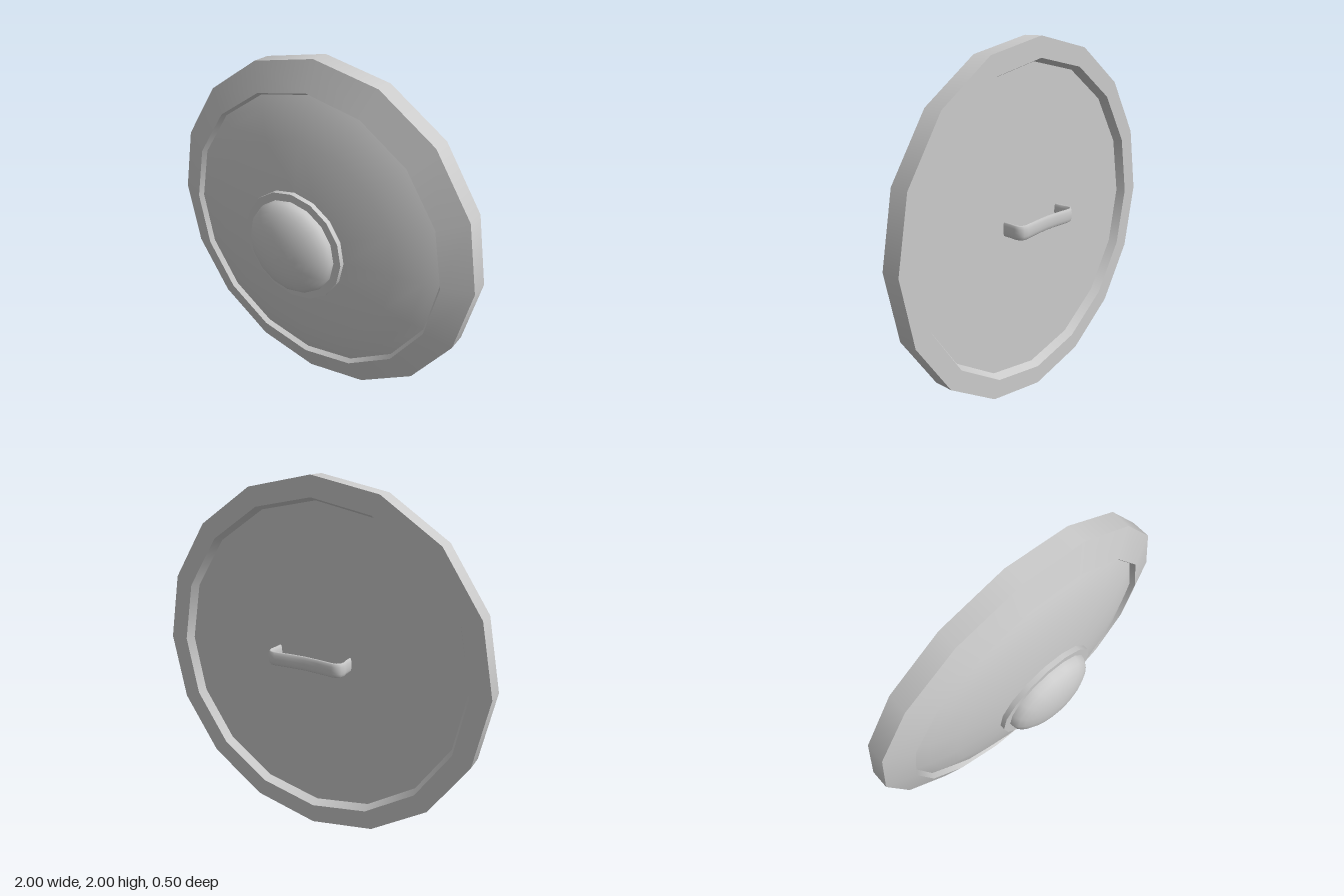
import * as THREE from 'three';

const material = new THREE.MeshStandardMaterial({ color: 0xcccccc });
const SIDES = 16;

// Turned part around the z axis. Each run of [radius, z] points is shaded
// smooth, and the joints between runs stay sharp.
function turned(name, runs) {
  const group = new THREE.Group();
  group.name = name;
  runs.forEach((run, i) => {
    const geometry = new THREE.LatheGeometry(run.map(([r, z]) => new THREE.Vector2(r, z)), SIDES);
    geometry.rotateX(Math.PI / 2);
    const mesh = new THREE.Mesh(geometry, material);
    mesh.name = `${name}Surface${i + 1}`;
    group.add(mesh);
  });
  return group;
}

// Flat oval strap swept along a path in the xz plane
function strap(path, thickness, height, around = 12) {
  const positions = [], indices = [];
  path.forEach((p, i) => {
    const a = path[Math.max(i - 1, 0)], b = path[Math.min(i + 1, path.length - 1)];
    const t = new THREE.Vector2().subVectors(b, a).normalize();
    for (let j = 0; j < around; j++) {
      const angle = (j / around) * Math.PI * 2;
      const out = Math.cos(angle) * thickness / 2;
      positions.push(p.x - t.y * out, Math.sin(angle) * height / 2, p.y + t.x * out);
    }
  });
  for (let i = 0; i < path.length - 1; i++) {
    for (let j = 0; j < around; j++) {
      const k = (j + 1) % around;
      const a = i * around + j, b = i * around + k;
      const c = a + around, d = b + around;
      indices.push(a, c, b, b, c, d);
    }
  }
  const geometry = new THREE.BufferGeometry();
  geometry.setAttribute('position', new THREE.Float32BufferAttribute(positions, 3));
  geometry.setIndex(indices);
  geometry.computeVertexNormals();
  return geometry;
}

export function createModel() {
  const model = new THREE.Group();
  model.name = 'roundShield';
  const body = new THREE.Group();
  body.name = 'shieldBody';
  body.position.y = 1;
  model.add(body);

  // Heavy outer rim: back inner wall, back face, outer wall, front bevel, front inner wall
  body.add(turned('rim', [
    [[0.87, -0.12], [0.89, -0.17]],
    [[0.89, -0.17], [1, -0.17]],
    [[1, -0.17], [1, -0.06]],
    [[1, -0.06], [0.84, 0]],
    [[0.84, 0], [0.825, -0.03]],
  ]));

  // Flat back and gently domed front
  body.add(turned('backPanel', [[[0, -0.12], [0.87, -0.12]]]));
  body.add(turned('frontPanel', [[[0.825, -0.03], [0.75, 0.003], [0.6, 0.05], [0.33, 0.1], [0, 0.12]]]));

  // Collar and domed boss in the middle
  body.add(turned('bossCollar', [
    [[0.325, 0.09], [0.325, 0.13]],
    [[0.325, 0.13], [0.27, 0.13]],
  ]));
  const dome = [];
  for (let i = 0; i <= 8; i++) {
    const a = (i / 8) * Math.PI / 2;
    dome.push([0.28 * Math.cos(a), 0.13 + 0.12 * Math.sin(a)]);
  }
  body.add(turned('boss', [dome]));

  // Grip strap on the back, bowed towards the panel in the middle
  const half = [[0.222, -0.115], [0.223, -0.165], [0.227, -0.2], [0.222, -0.225], [0.205, -0.238],
    [0.18, -0.241], [0.09, -0.232]];
  const path = [
    ...half.map(([x, z]) => new THREE.Vector2(x, z)),
    new THREE.Vector2(0, -0.227),
    ...half.slice().reverse().map(([x, z]) => new THREE.Vector2(-x, z)),
  ];
  const handle = new THREE.Mesh(strap(path, 0.02, 0.08), material);
  handle.name = 'handle';
  handle.position.set(0.013, 0.02, 0);
  body.add(handle);

  return model;
}
